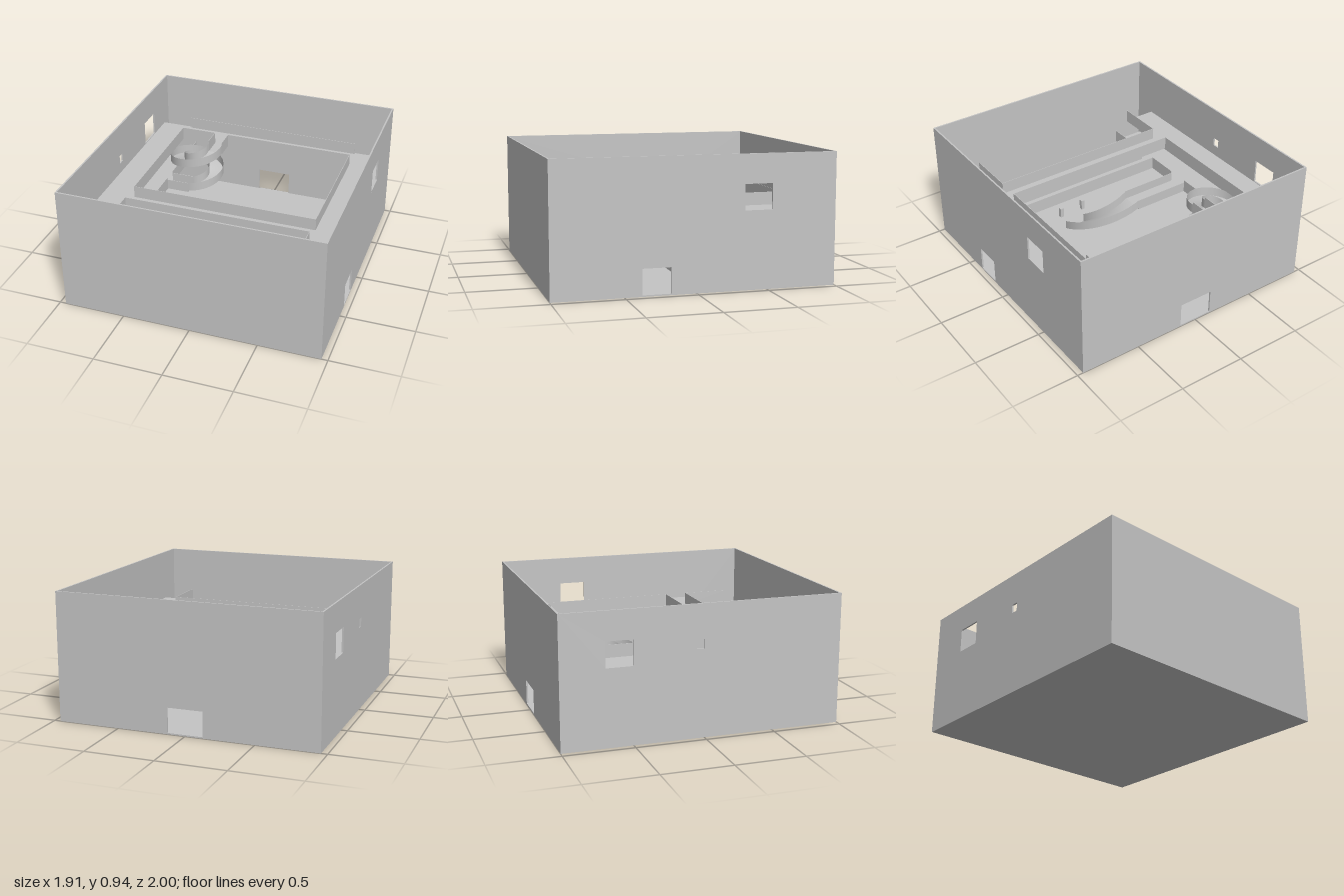
import * as THREE from 'three';
import { ParametricGeometry } from 'three/addons/geometries/ParametricGeometry.js';

const grey = new THREE.MeshStandardMaterial({ color: 0xc4c4c4, side: THREE.DoubleSide });
grey.name = 'concreteGrey';

const HX = 0.955, HZ = 1, H = 0.935, T = 0.012;   // outer half sizes, height, wall thickness
const MID = 0.275, TOP = 0.545, RAIL = 0.09, RAMP_RAIL = 0.07;

export function createModel() {
  const model = new THREE.Group();
  model.name = 'atriumBuilding';

  const add = (name, geometry) => {
    const mesh = new THREE.Mesh(geometry, grey);
    mesh.name = name;
    model.add(mesh);
    return mesh;
  };

  // Box given by its extents
  const block = (name, x0, x1, y0, y1, z0, z1) => {
    const g = new THREE.BoxGeometry(x1 - x0, y1 - y0, z1 - z0);
    g.translate((x0 + x1) / 2, (y0 + y1) / 2, (z0 + z1) / 2);
    return add(name, g);
  };

  // Thin parapets along x or along z
  const railX = (name, x0, x1, z, y, h = RAIL) => block(name, x0, x1, y - 0.01, y + h, z - 0.002, z + 0.002);
  const railZ = (name, x, z0, z1, y, h = RAIL) => block(name, x - 0.002, x + 0.002, y - 0.01, y + h, z0, z1);

  const polygon = (pts, Type = THREE.Shape) => new Type(pts.map(([a, b]) => new THREE.Vector2(a, b)));
  const rect = (a0, a1, b0, b1) => [[a0, b0], [a1, b0], [a1, b1], [a0, b1]];

  // Wall sheet with rectangular openings
  const wallGeometry = (half, openings) => {
    const shape = polygon(rect(-half, half, 0, H));
    openings.forEach(o => shape.holes.push(polygon(rect(...o), THREE.Path)));
    return new THREE.ExtrudeGeometry(shape, { depth: T, bevelEnabled: false });
  };

  // Floor sheet drawn in x and z, top face at y
  const slab = (name, y, outline, holes = []) => {
    const shape = polygon(outline);
    holes.forEach(h => shape.holes.push(polygon(h, THREE.Path)));
    const g = new THREE.ExtrudeGeometry(shape, { depth: 0.01, bevelEnabled: false });
    add(name, g.rotateX(Math.PI / 2).translate(0, y, 0));
  };

  // Outer shell
  block('groundFloor', -HX, HX, 0, 0.01, -HZ, HZ);
  add('frontWall', wallGeometry(HX, []).translate(0, 0, HZ - T));
  add('backWall', wallGeometry(HX, [[-0.13, 0.13, 0.01, 0.19]]).translate(0, 0, -HZ));
  add('leftWall', wallGeometry(HZ, [[0.18, 0.38, 0.01, 0.19], [-0.535, -0.338, 0.55, 0.73]])
    .rotateY(-Math.PI / 2).translate(HX, 0, 0));
  add('rightWall', wallGeometry(HZ, [[-0.69, -0.495, 0.55, 0.73], [-0.06, -0.005, 0.625, 0.69]])
    .rotateY(-Math.PI / 2).translate(-HX + T, 0, 0));

  // Upper gallery around the atrium
  const W = HX - T, A = 0.695;
  slab('upperGallery', TOP, [
    [-W, -0.9], [-A, -0.9], [-A, -0.885], [A, -0.885], [A, -0.9], [W, -0.9],
    [W, 0.81], [A, 0.81], [A, 0.455], [-A, 0.455], [-A, 0.81], [-W, 0.81],
  ], [rect(-A, A, -0.7, 0.29)]);
  railX('upperBackRail', -A, A, -0.885, TOP);
  railX('upperAtriumRail', -A, -0.42, -0.7, TOP);
  railX('upperAtriumRail', -0.31, A, -0.7, TOP);
  railX('upperAtriumRail', -A, A, 0.29, TOP);
  railX('upperFrontRail', -A, A, 0.455, TOP);
  for (const s of [-1, 1]) {
    railZ('upperAtriumRail', s * A, -0.7, 0.29, TOP);
    railZ('upperFrontRail', s * A, 0.455, 0.81, TOP);
  }

  // Middle level: two side decks joined by a bridge
  const B = 0.97;
  slab('middleLevel', MID, [
    [-W, -B - 0.01], [-A, -B - 0.01], [-A, 0.45], [A, 0.45], [A, -B - 0.01], [W, -B - 0.01],
    [W, B], [A, B], [A, 0.6], [-A, 0.6], [-A, B], [-W, B],
  ]);
  railX('bridgeRail', -A, A, 0.45, MID);
  railX('bridgeRail', -A, A, 0.6, MID);
  railZ('middleRail', A, -0.98, 0.45, MID);
  [[-0.98, -0.45], [-0.335, 0.035], [0.2, 0.45]].forEach(([a, b]) => railZ('middleRail', -A, a, b, MID));
  for (const s of [-1, 1]) railZ('middleFrontRail', s * A, 0.6, B, MID);

  // Curved ramp: tread between two radii with a parapet on each edge
  const helix = (name, cx, cz, r0, r1, a0, a1, y0, y1, steps) => {
    const at = (u, r, lift, p) => {
      const a = a0 + (a1 - a0) * u;
      p.set(cx + r * Math.cos(a), y0 + (y1 - y0) * u + lift, cz + r * Math.sin(a));
    };
    add(name + 'Tread', new ParametricGeometry((u, v, p) => at(u, r0 + (r1 - r0) * v, 0, p), steps, 1));
    for (const r of [r0, r1]) {
      add(name + 'Rail', new ParametricGeometry((u, v, p) => at(u, r, RAMP_RAIL * v, p), steps, 1));
    }
  };

  // Spiral from the upper gallery down to the middle level
  helix('spiralRamp', -0.52, -0.55, 0.1, 0.212, 0, Math.PI * 2.5, TOP, MID, 40);
  block('spiralUpperLanding', -0.42, -0.31, TOP - 0.01, TOP, -0.7, -0.55);
  railZ('spiralUpperRail', -0.42, -0.7, -0.55, TOP);
  railZ('spiralUpperRail', -0.31, -0.7, -0.55, TOP);
  block('spiralLowerLanding', -A, -0.52, MID - 0.01, MID, -0.45, -0.338);
  railX('spiralLowerRail', -A, -0.52, -0.45, MID, RAMP_RAIL);
  railX('spiralLowerRail', -A, -0.52, -0.338, MID, RAMP_RAIL);

  // Quarter-turn ramp from the middle level to the ground
  helix('groundRamp', -0.25, 0.445, 0.245, 0.41, -Math.PI / 2, 0, MID, 0.01, 24);
  block('groundRampDeck', -A, -0.25, MID - 0.01, MID, 0.035, 0.2);
  railX('groundRampDeckRail', -A, -0.25, 0.035, MID, RAMP_RAIL);
  railX('groundRampDeckRail', -A, -0.25, 0.2, MID, RAMP_RAIL);

  // Ground floor fittings
  block('centralPlinth', 0.06, 0.28, 0.01, 0.09, -0.24, -0.02);
  railZ('groundPartition', A, 0.345, 0.6, 0.01, MID - 0.02);
  for (const s of [-1, 1]) {
    block('post', s * 0.1 - 0.014, s * 0.1 + 0.014, 0.01, 0.09, 0.59, 0.62);
    block('bench', s * 0.528 - 0.078, s * 0.528 + 0.078, 0.01, 0.05, 0.785, 0.83);
  }
  return model;
}
